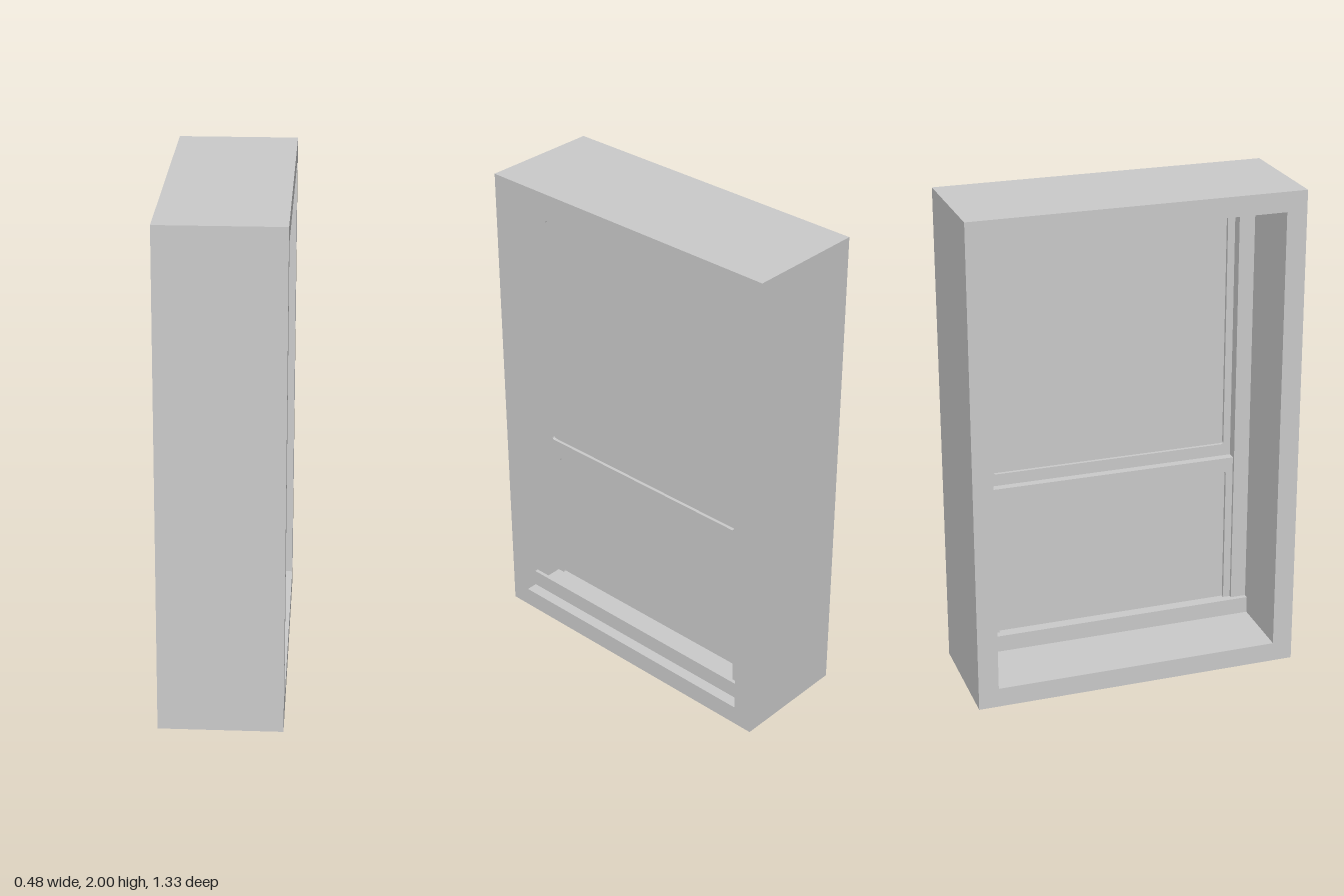
import * as THREE from 'three';

const material = new THREE.MeshStandardMaterial({ color: 0xcccccc, flatShading: true });

// Trace a rectangle, with optional rounded corners, centred on z = 0
function rect(path, halfW, y0, y1, r = 0) {
  const w = halfW;
  if (r === 0) {
    path.moveTo(-w, y0).lineTo(w, y0).lineTo(w, y1).lineTo(-w, y1);
  } else {
    path.moveTo(-w + r, y0).lineTo(w - r, y0).quadraticCurveTo(w, y0, w, y0 + r);
    path.lineTo(w, y1 - r).quadraticCurveTo(w, y1, w - r, y1);
    path.lineTo(-w + r, y1).quadraticCurveTo(-w, y1, -w, y1 - r);
    path.lineTo(-w, y0 + r).quadraticCurveTo(-w, y0, -w + r, y0);
  }
  path.closePath();
  return path;
}

// Rectangular ring in the z-y plane, running from x0 to x1
function ring(name, outer, inner, x0, x1) {
  const shape = rect(new THREE.Shape(), ...outer);
  shape.holes.push(rect(new THREE.Path(), ...inner));
  const geo = new THREE.ExtrudeGeometry(shape, { depth: x1 - x0, bevelEnabled: false, curveSegments: 3 });
  geo.rotateY(Math.PI / 2).translate(x0, 0, 0);
  const mesh = new THREE.Mesh(geo, material);
  mesh.name = name;
  return mesh;
}

// Box given by its limits
function box(name, x0, x1, y0, y1, z0, z1) {
  const mesh = new THREE.Mesh(new THREE.BoxGeometry(x1 - x0, y1 - y0, z1 - z0), material);
  mesh.position.set((x0 + x1) / 2, (y0 + y1) / 2, (z0 + z1) / 2);
  mesh.name = name;
  return mesh;
}

// Sash: a frame with a pane set back from both faces
function sash(name, x0, x1, y0, y1, open0, open1) {
  const group = new THREE.Group();
  group.name = name;
  group.add(
    ring('sashFrame', [0.525, y0, y1], [0.49, open0, open1, 0.01], x0, x1),
    box('glassPane', x0 + 0.014, x1 - 0.013, open0 - 0.01, open1 + 0.01, -0.5, 0.5)
  );
  return group;
}

export function createModel() {
  const model = new THREE.Group();
  model.name = 'sashWindow';

  // Deep wall surround
  model.add(ring('wallSurround', [0.667, 0, 2], [0.585, 0.08, 1.92], -0.242, 0.242));

  // Window frame: head and sill stand proud of the jambs
  model.add(box('head', 0.05, 0.195, 1.87, 1.92, -0.585, 0.585));
  model.add(box('sill', 0.05, 0.195, 0.08, 0.15, -0.585, 0.585));
  for (const s of [-1, 1]) {
    const [a, b] = s > 0 ? [0.52, 0.585] : [-0.585, -0.52];
    model.add(box(s > 0 ? 'leftJamb' : 'rightJamb', 0.07, 0.18, 0.15, 1.87, a, b));
  }

  // Upper sash sits in front of the lower one, overlapping at the meeting rail
  model.add(sash('upperSash', 0.117, 0.155, 0.78, 1.88, 0.84, 1.83));
  model.add(sash('lowerSash', 0.083, 0.117, 0.09, 0.79, 0.145, 0.73));

  return model;
}
